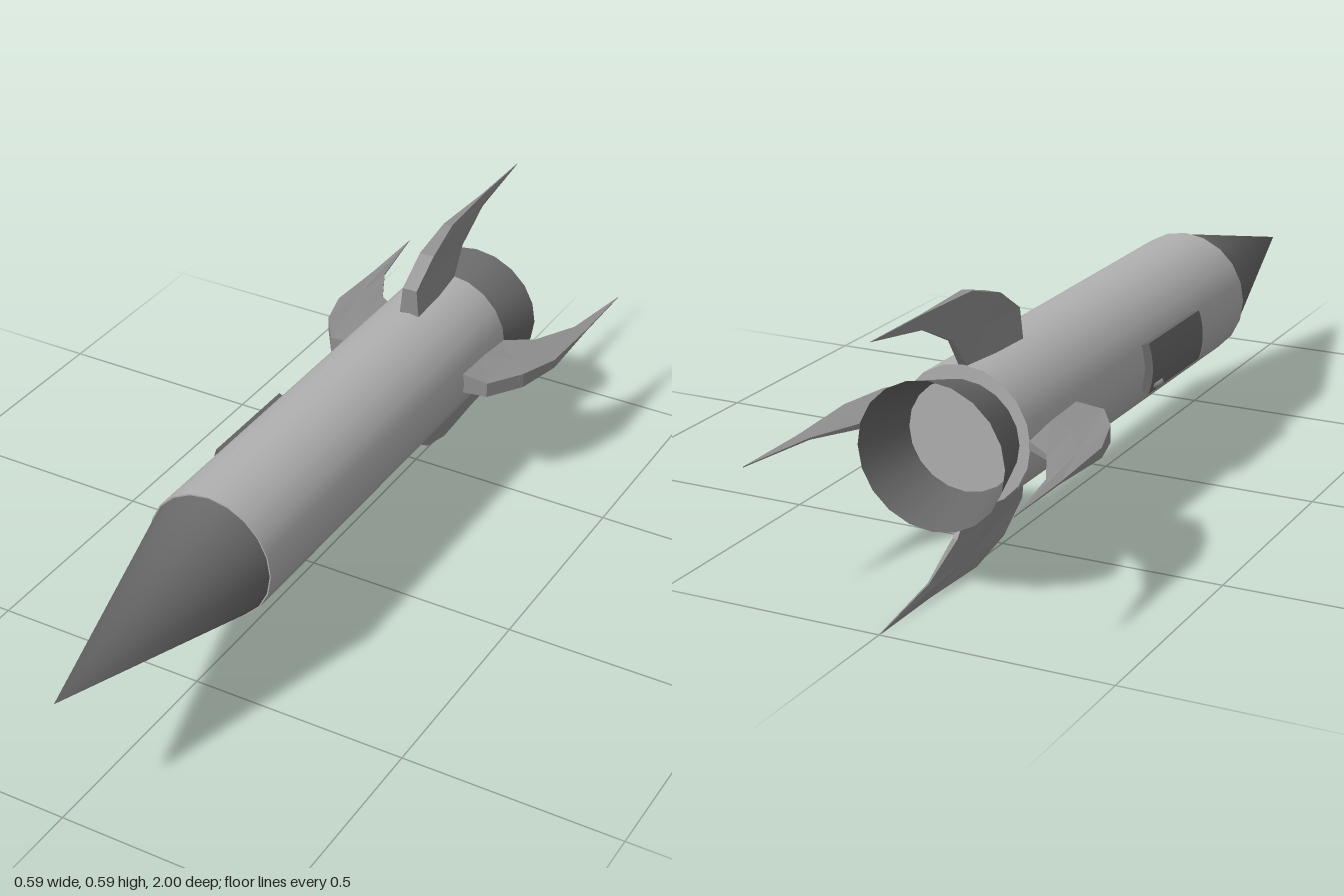
import * as THREE from 'three';
import { mergeVertices } from 'three/addons/utils/BufferGeometryUtils.js';

const SIDES = 20;
const BODY_Y = 0.291;
const FIN_Y = 0.294;

const BODY_GREY = 0xb0b0b0;
const FIN_GREY = 0x8e8e8e;
const DARK_GREY = 0x686868;

function createMaterial(color, options = {}) {
  return new THREE.MeshStandardMaterial({ color, ...options });
}

function namedMesh(name, geometry, material) {
  const mesh = new THREE.Mesh(geometry, material);
  mesh.name = name;
  return mesh;
}

// Cylinder or cone along z, from zBack to zFront
function roundGeometry(rFront, rBack, zFront, zBack, open) {
  const geometry = new THREE.CylinderGeometry(rFront, rBack, zFront - zBack, SIDES, 1, open);
  geometry.rotateX(Math.PI / 2);
  geometry.translate(0, 0, (zFront + zBack) / 2);
  return geometry;
}

// Open cone with a single shared tip, so its shading runs smoothly over the point
function noseGeometry() {
  const cone = roundGeometry(0, 0.147, 1.0, 0.436, true);
  cone.deleteAttribute('normal');
  cone.deleteAttribute('uv');
  const geometry = mergeVertices(cone);
  geometry.computeVertexNormals();
  return geometry;
}

// Swept fin: stations stacked outward, each thick in front and thin behind
function finGeometry() {
  // radius, then [z, half width] at the front, middle and back
  const stations = [
    [0.140, [-0.443, 0.025], [-0.55, 0.021], [-0.65, 0.010]],
    [0.209, [-0.443, 0.018], [-0.58, 0.014], [-0.70, 0.006]],
    [0.263, [-0.525, 0.018], [-0.68, 0.009], [-0.81, 0.002]],
    [0.294, [-0.63, 0.011], [-0.81, 0.002], [-1.00, 0.001]],
  ];
  const rings = stations.map(([r, ...points]) => [
    ...points.map(([z, w]) => [w, r, z]),
    ...points.map(([z, w]) => [-w, r, z]).reverse(),
  ]);
  const positions = [];
  const quad = (a, b, c, d) => positions.push(...a, ...b, ...c, ...a, ...c, ...d);
  for (let i = 0; i < rings.length - 1; i++) {
    for (let j = 0; j < 6; j++) {
      const k = (j + 1) % 6;
      quad(rings[i][j], rings[i][k], rings[i + 1][k], rings[i + 1][j]);
    }
  }
  // Outer edge and root
  const [p0, p1, p2, p3, p4, p5] = rings[rings.length - 1];
  quad(p0, p1, p4, p5);
  quad(p1, p2, p3, p4);
  const [q0, q1, q2, q3, q4, q5] = rings[0];
  quad(q5, q4, q1, q0);
  quad(q4, q3, q2, q1);
  const geometry = new THREE.BufferGeometry();
  geometry.setAttribute('position', new THREE.Float32BufferAttribute(positions, 3));
  geometry.computeVertexNormals();
  return geometry;
}

// Curved door on the right side, with a small bar handle
function createHatch() {
  const hatch = new THREE.Group();
  hatch.name = 'hatch';

  const half = 0.35;
  const shape = new THREE.Shape();
  shape.absarc(0, 0, 0.168, Math.PI - half, Math.PI + half, false);
  shape.absarc(0, 0, 0.14, Math.PI + half, Math.PI - half, true);
  shape.closePath();
  const door = new THREE.ExtrudeGeometry(shape, { depth: 0.27, bevelEnabled: false, curveSegments: 6 });
  door.translate(0, 0, -0.115);
  hatch.add(namedMesh('hatchDoor', door, createMaterial(DARK_GREY)));

  const path = new THREE.CatmullRomCurve3([
    new THREE.Vector3(-0.152, -0.041, -0.095),
    new THREE.Vector3(-0.162, -0.044, -0.09),
    new THREE.Vector3(-0.162, -0.044, -0.06),
    new THREE.Vector3(-0.152, -0.041, -0.055),
  ]);
  const handle = new THREE.TubeGeometry(path, 12, 0.007, 8);
  hatch.add(namedMesh('hatchHandle', handle, createMaterial(FIN_GREY)));
  return hatch;
}

export function createModel() {
  const model = new THREE.Group();
  model.name = 'rocket';

  // Fuselage, nose, slightly flattened exhaust bell and hatch
  const fuselage = new THREE.Group();
  fuselage.name = 'fuselage';
  fuselage.position.y = BODY_Y;
  const bell = roundGeometry(0.124, 0.165, -0.65, -0.79, true);
  bell.scale(1, 0.95, 1);
  fuselage.add(
    namedMesh('body', roundGeometry(0.15, 0.15, 0.436, -0.655, false), createMaterial(BODY_GREY)),
    namedMesh('noseCone', noseGeometry(), createMaterial(DARK_GREY)),
    namedMesh('nozzle', bell, createMaterial(DARK_GREY, { side: THREE.DoubleSide })),
    createHatch(),
  );
  model.add(fuselage);

  // Four fins around the tail
  const fin = finGeometry();
  const finMaterial = createMaterial(FIN_GREY, { flatShading: true });
  ['topFin', 'rightFin', 'bottomFin', 'leftFin'].forEach((name, i) => {
    const mesh = namedMesh(name, fin, finMaterial);
    mesh.position.y = FIN_Y;
    mesh.rotation.z = i * Math.PI / 2;
    model.add(mesh);
  });

  return model;
}
